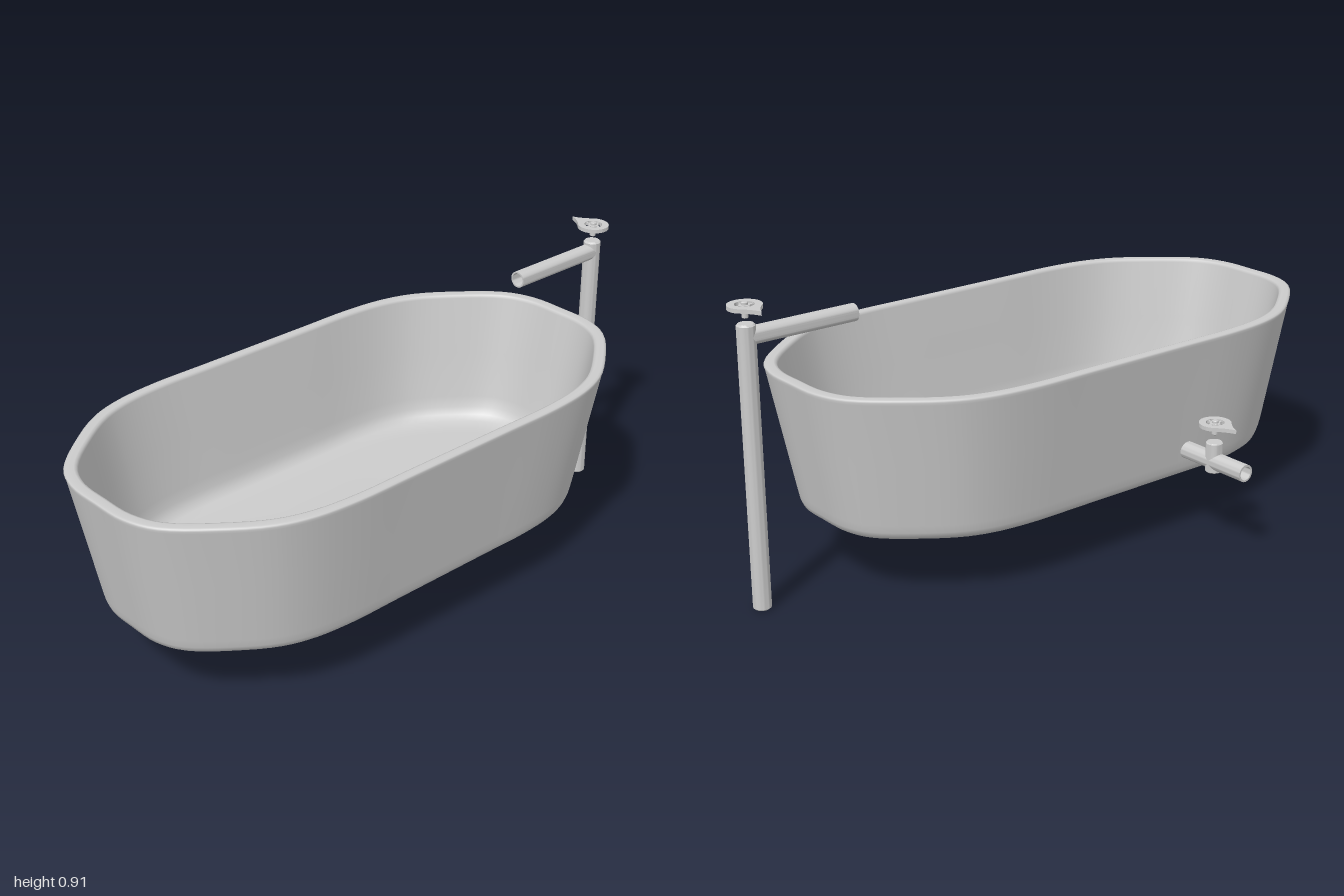
import * as THREE from 'three';
import { toCreasedNormals } from 'three/addons/utils/BufferGeometryUtils.js';

const material = new THREE.MeshStandardMaterial({ color: 0xcccccc, side: THREE.DoubleSide });

function part(name, geometry, parent) {
  const mesh = new THREE.Mesh(geometry, material);
  mesh.name = name;
  parent.add(mesh);
  return mesh;
}

// Unit outline of the tub: straight sides, softened chamfered corners
function tubOutline(count) {
  const quarter = [[1, 0], [1, 0.22], [1, 0.42], [0.968, 0.57], [0.89, 0.69],
    [0.69, 0.835], [0.47, 0.95], [0.26, 0.994], [0, 1]];
  const half = [...quarter, ...quarter.slice(0, -1).reverse().map(([x, z]) => [-x, z])];
  const all = [...half, ...half.slice(1, -1).reverse().map(([x, z]) => [x, -z])];
  const curve = new THREE.CatmullRomCurve3(all.map(([x, z]) => new THREE.Vector3(x, 0, z)), true);
  return curve.getPoints(count).slice(0, count);
}

// Loft from the underside centre, up the outer wall, over the rim, down to the floor
function tubGeometry() {
  const rings = [ // half width, half length, height
    [0, 0, 0.195], [0.3, 0.7, 0.195], [0.36, 0.785, 0.196], [0.378, 0.806, 0.201],
    [0.389, 0.819, 0.211], [0.394, 0.825, 0.226], [0.398, 0.83, 0.25], [0.425, 0.868, 0.44],
    [0.453, 0.907, 0.635], [0.455, 0.91, 0.643], [0.453, 0.908, 0.648], [0.447, 0.902, 0.65],
    [0.43, 0.882, 0.65], [0.424, 0.875, 0.648], [0.421, 0.87, 0.64], [0.398, 0.835, 0.46],
    [0.377, 0.8, 0.31], [0.37, 0.79, 0.275], [0.36, 0.775, 0.253], [0.343, 0.753, 0.238],
    [0.315, 0.72, 0.231], [0.28, 0.68, 0.23], [0, 0, 0.23],
  ];
  const count = 128, outline = tubOutline(count), positions = [], index = [];
  rings.forEach(([w, l, y], r) => outline.forEach((p, j) => {
    positions.push(p.x * w, y, p.z * l);
    if (r === rings.length - 1) return;
    const a = r * count + j, b = r * count + (j + 1) % count;
    index.push(a, a + count, b, b, a + count, b + count);
  }));
  const geometry = new THREE.BufferGeometry();
  geometry.setAttribute('position', new THREE.Float32BufferAttribute(positions, 3));
  geometry.setIndex(index);
  geometry.computeVertexNormals();
  return geometry;
}

function turned(profile) {
  const points = profile.map(([r, y]) => new THREE.Vector2(r, y));
  return toCreasedNormals(new THREE.LatheGeometry(points, 32), 0.6);
}

// Solid rod with slightly rounded ends
function rod(radius, y0, y1, bevel) {
  return turned([[0, y0], [radius - bevel, y0], [radius, y0 + bevel],
    [radius, y1 - bevel], [radius - bevel, y1], [0, y1]]);
}

// Pipe along +y with an open mouth at its far end
function openPipe(radius, length, bore, depth) {
  return turned([[0, 0], [radius, 0], [radius, length], [bore, length],
    [bore, length - depth], [0, length - depth]]);
}

// Teardrop hand wheel with hub, spokes and stem; the pointer faces -x
function createHandle(name) {
  const group = new THREE.Group();
  group.name = name;
  const radius = 0.049, tip = 0.088;
  const shape = new THREE.Shape();
  shape.moveTo(-tip, 0);
  shape.quadraticCurveTo(-0.06, -0.01, -0.036, -0.033);
  shape.absarc(0, 0, radius, -Math.PI * 0.763, Math.PI * 0.763, false);
  shape.quadraticCurveTo(-0.06, 0.01, -tip, 0);
  shape.holes.push(new THREE.Path().absarc(0, 0, 0.028, 0, Math.PI * 2, true));
  const wheel = new THREE.ExtrudeGeometry(shape, { depth: 0.012, bevelEnabled: false, curveSegments: 32 });
  wheel.rotateX(-Math.PI / 2).translate(0, -0.006, 0);
  part('handleWheel', toCreasedNormals(wheel, 0.6), group);
  part('handleHub', rod(0.016, -0.005, 0.005, 0.001), group);
  part('handleStem', rod(0.0095, -0.033, 0.013, 0.002), group);
  for (let i = 0; i < 2; i++) {
    const spoke = part('handleSpoke', new THREE.BoxGeometry(0.06, 0.007, 0.008), group);
    spoke.rotation.y = i * Math.PI / 2;
  }
  return group;
}

export function createModel() {
  const model = new THREE.Group();
  model.name = 'bathtub';

  part('tub', tubGeometry(), model).position.set(0.098, 0, 0.09);

  // Free-standing tap behind the tub
  const tap = new THREE.Group();
  tap.name = 'standingTap';
  tap.position.set(0.097, 0, -0.947);
  part('tapPost', rod(0.027, 0, 0.849, 0.005), tap);
  const spout = part('tapSpout', openPipe(0.026, 0.347, 0.021, 0.3), tap);
  spout.rotation.x = Math.PI / 2;
  spout.position.y = 0.812;
  const tapHandle = createHandle('tapHandle');
  tapHandle.position.y = 0.897;
  tap.add(tapHandle);
  model.add(tap);

  // Drain pipe and valve at the side
  const drain = new THREE.Group();
  drain.name = 'drainValve';
  drain.position.set(-0.422, 0, 0.325);
  const pipe = part('drainPipe', openPipe(0.027, 0.255, 0.021, 0.1), drain);
  pipe.rotation.z = Math.PI / 2;
  pipe.position.set(0.122, 0.286, 0);
  part('valveBody', rod(0.026, 0.252, 0.347, 0.003), drain);
  const drainHandle = createHandle('drainHandle');
  drainHandle.position.y = 0.403;
  drain.add(drainHandle);
  model.add(drain);

  return model;
}
